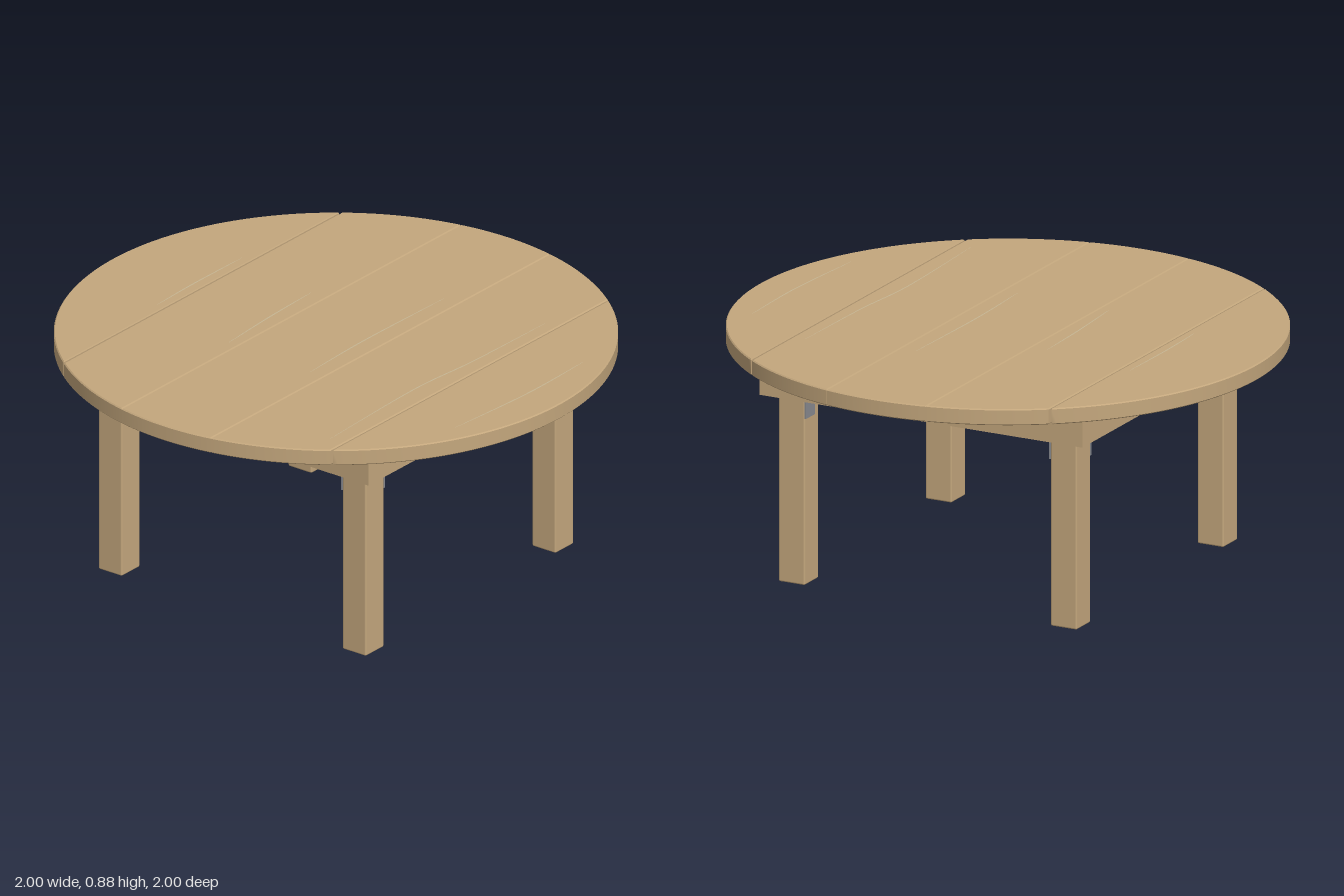
import * as THREE from 'three';
import { toCreasedNormals } from 'three/addons/utils/BufferGeometryUtils.js';
import { RoundedBoxGeometry } from 'three/addons/geometries/RoundedBoxGeometry.js';

const wood = new THREE.MeshStandardMaterial({ color: 0xc4a77d });
wood.name = 'wood';
const grain = new THREE.MeshStandardMaterial({ color: 0xc6b795 });
grain.name = 'pale grain';
const steel = new THREE.MeshStandardMaterial({ color: 0x888a90 });
steel.name = 'steel';
const bolt = new THREE.MeshStandardMaterial({ color: 0x55575c });
bolt.name = 'dark bolt';

const TOP = 0.88, THICK = 0.06, APRON_BOTTOM = 0.7;

function add(parent, name, geometry, material, x = 0, y = 0, z = 0) {
  const mesh = new THREE.Mesh(geometry, material);
  mesh.name = name;
  mesh.position.set(x, y, z);
  parent.add(mesh);
  return mesh;
}

// Slice of a unit disc between two z lines, with a small chamfer all round
function plankGeometry(z0, z1) {
  const n = 48, bevel = 0.004;
  const a0 = Math.asin(z0), a1 = Math.asin(z1);
  const points = [];
  for (let i = 0; i <= n; i++) {
    const a = a0 + (a1 - a0) * i / n;
    points.push(new THREE.Vector2(Math.cos(a), Math.sin(a)));
  }
  for (let i = n; i >= 0; i--) {
    const p = points[i];
    if (p.x > 1e-4) points.push(new THREE.Vector2(-p.x, p.y));
  }
  const geometry = new THREE.ExtrudeGeometry(new THREE.Shape(points), {
    depth: THICK - 2 * bevel, bevelEnabled: true, bevelSegments: 1,
    bevelThickness: bevel, bevelSize: bevel, bevelOffset: -bevel,
  });
  geometry.rotateX(Math.PI / 2);
  geometry.translate(0, TOP - bevel, 0);
  return toCreasedNormals(geometry, 0.5);
}

// Flat tapering ribbon following a curve through [x, z] points
function grainGeometry(points) {
  const curve = new THREE.SplineCurve(points.map(([x, z]) => new THREE.Vector2(x, z)));
  const n = 32, upper = [], lower = [];
  for (let i = 0; i <= n; i++) {
    const p = curve.getPoint(i / n);
    const w = 0.0005 + 0.002 * Math.sin(Math.PI * i / n);
    upper.push(new THREE.Vector2(p.x, -p.y + w));
    lower.unshift(new THREE.Vector2(p.x, -p.y - w));
  }
  return new THREE.ShapeGeometry(new THREE.Shape([...upper, ...lower])).rotateX(-Math.PI / 2);
}

export function createModel() {
  const table = new THREE.Group();
  table.name = 'roundTable';

  // Round top made of five planks
  const top = new THREE.Group();
  top.name = 'tableTop';
  table.add(top);
  [[-1, -0.605], [-0.597, -0.201], [-0.2, 0.2], [0.201, 0.597], [0.605, 1]]
    .forEach(([z0, z1], i) => add(top, `plank${i + 1}`, plankGeometry(z0, z1), wood));

  // Pale grain streaks
  [
    [[-0.22, -0.635], [0, -0.642], [0.28, -0.64]],
    [[-0.31, -0.24], [-0.05, -0.258], [0.2, -0.267]],
    [[-0.33, 0.14], [0, 0.128], [0.45, 0.135]],
    [[-0.73, 0.54], [-0.22, 0.52], [0.1, 0.54], [0.5, 0.546]],
    [[-0.38, 0.832], [0, 0.858], [0.33, 0.852]],
  ].forEach((pts, i) => add(top, `grainStreak${i + 1}`, grainGeometry(pts), grain, 0, TOP + 0.001, 0));

  // Square apron under the top
  const apron = new THREE.Group();
  apron.name = 'apron';
  table.add(apron);
  const h = TOP - THICK - APRON_BOTTOM, y = APRON_BOTTOM + h / 2;
  for (const s of [-1, 1]) {
    add(apron, s > 0 ? 'frontRail' : 'backRail', new THREE.BoxGeometry(1.3, h, 0.05), wood, 0, y, s * 0.625);
    add(apron, s > 0 ? 'leftRail' : 'rightRail', new THREE.BoxGeometry(0.05, h, 1.2), wood, s * 0.625, y, 0);
  }

  // Legs, each with a bolted steel plate on both inner faces
  const legHeight = TOP - THICK;
  const legGeometry = new RoundedBoxGeometry(0.105, legHeight, 0.105, 2, 0.006);
  const plateX = new THREE.BoxGeometry(0.007, 0.195, 0.066);
  const plateZ = new THREE.BoxGeometry(0.066, 0.195, 0.007);
  const boltX = new THREE.CylinderGeometry(0.009, 0.009, 0.006, 16).rotateZ(Math.PI / 2);
  const boltZ = new THREE.CylinderGeometry(0.009, 0.009, 0.006, 16).rotateX(Math.PI / 2);
  for (const sx of [-1, 1]) for (const sz of [-1, 1]) {
    const leg = new THREE.Group();
    leg.name = `${sz > 0 ? 'front' : 'back'}${sx > 0 ? 'Left' : 'Right'}Leg`;
    table.add(leg);
    add(leg, 'post', legGeometry, wood, sx * 0.5475, legHeight / 2, sz * 0.5475);
    add(leg, 'sidePlate', plateX, steel, sx * 0.4925, 0.7175, sz * 0.567);
    add(leg, 'crossPlate', plateZ, steel, sx * 0.567, 0.7175, sz * 0.4925);
    add(leg, 'sideBolt', boltX, bolt, sx * 0.488, 0.745, sz * 0.567);
    add(leg, 'crossBolt', boltZ, bolt, sx * 0.567, 0.745, sz * 0.488);
  }
  return table;
}
